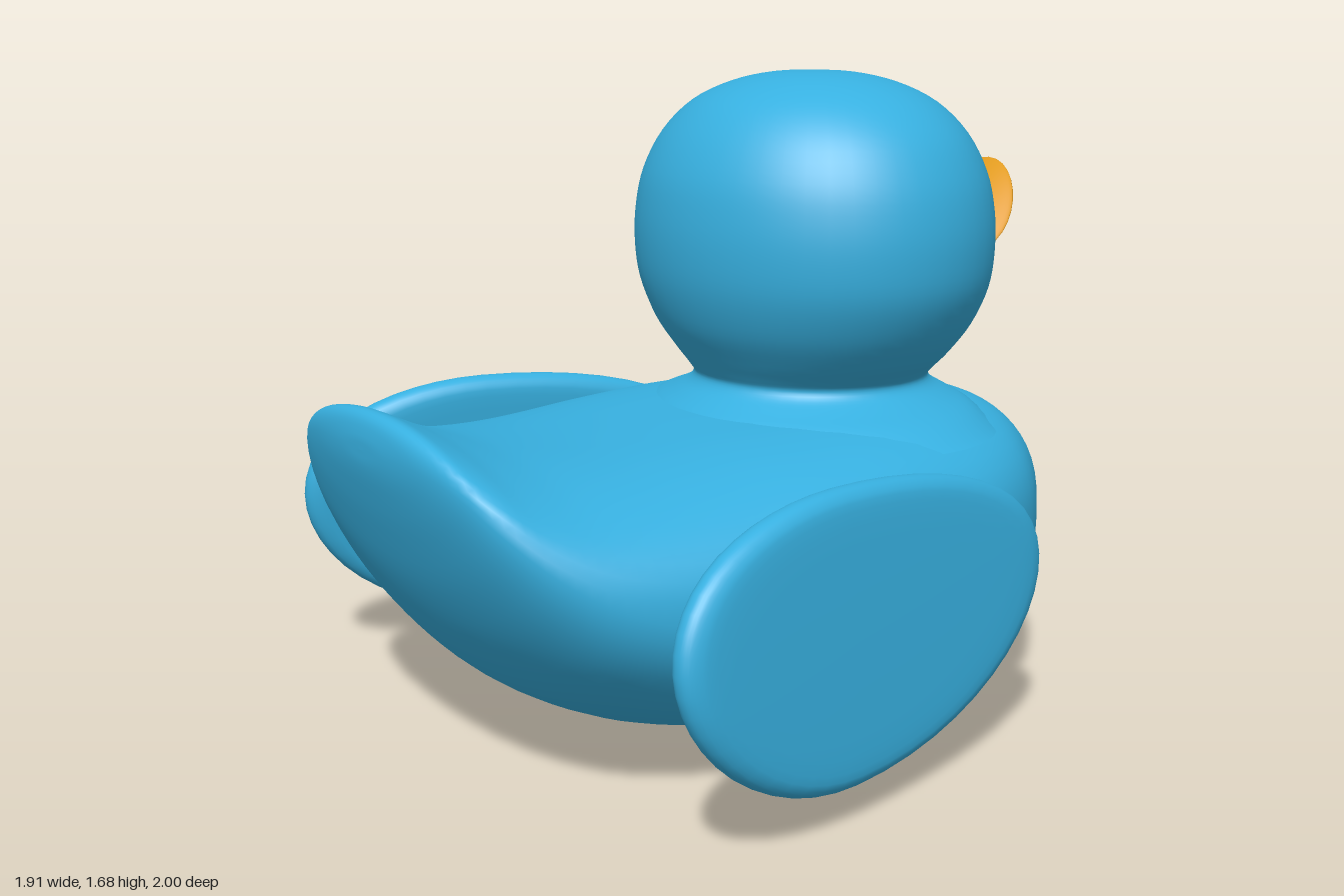
import * as THREE from 'three';

const SIDES = 48;

// Smooth closed skin through loops of points; point(key, angle) returns [x, y, z].
function loft(keys, steps, point) {
  const spline = new THREE.CubicInterpolant(keys.map((_, i) => i), keys.flat(), keys[0].length);
  const rings = (keys.length - 1) * steps;
  const pos = [], index = [];
  for (let i = 0; i <= rings; i++) {
    const key = Array.from(spline.evaluate(i / steps));
    for (let j = 0; j < SIDES; j++) pos.push(...point(key, (j / SIDES) * Math.PI * 2));
  }
  for (let i = 0; i < rings; i++) {
    for (let j = 0; j < SIDES; j++) {
      const k = (j + 1) % SIDES;
      const a = i * SIDES + j, b = i * SIDES + k;
      index.push(a, b, a + SIDES, b, b + SIDES, a + SIDES);
    }
  }
  const g = new THREE.BufferGeometry();
  g.setAttribute('position', new THREE.Float32BufferAttribute(pos, 3));
  g.setIndex(index);
  g.computeVertexNormals();
  return g;
}

// Signed power for rounded-square cross-sections
const sp = (v, n) => Math.sign(v) * Math.pow(Math.abs(v), 2 / n);

// Flattened ball whose height follows rule(x, distance from the beak root)
function billGeometry(rx, ry, rz, rule) {
  const g = new THREE.SphereGeometry(1, 40, 28);
  const p = g.attributes.position;
  for (let i = 0; i < p.count; i++) {
    const x = p.getX(i) * rx, z = p.getZ(i) * rz;
    p.setXYZ(i, x, p.getY(i) * ry + rule(x, rz - z), z);
  }
  g.computeVertexNormals();
  return g;
}

export function createModel() {
  const duck = new THREE.Group();
  const blue = new THREE.MeshStandardMaterial({ name: 'blue', color: 0x37b0e0 });
  const orange = new THREE.MeshStandardMaterial({ name: 'orange', color: 0xe09a1f });
  const black = new THREE.MeshStandardMaterial({ name: 'black', color: 0x101010 });

  function add(name, geometry, material, x = 0, y = 0, z = 0) {
    const mesh = new THREE.Mesh(geometry, material);
    mesh.name = name;
    mesh.position.set(x, y, z);
    duck.add(mesh);
    return mesh;
  }

  // Body with broad upturned tail: z, bottom, top, half width, squareness of the top
  const bodyKeys = [
    [-0.955, 0.45, 0.45, 0, 2],
    [-0.945, 0.36, 0.56, 0.14, 2.1],
    [-0.92, 0.29, 0.66, 0.25, 2.2],
    [-0.87, 0.21, 0.745, 0.36, 2.4],
    [-0.79, 0.14, 0.79, 0.45, 2.6],
    [-0.65, 0.08, 0.805, 0.57, 2.9],
    [-0.45, 0.03, 0.81, 0.66, 3.2],
    [-0.2, 0.005, 0.81, 0.70, 3.4],
    [0.05, 0.01, 0.80, 0.72, 3.2],
    [0.3, 0.045, 0.79, 0.715, 2.8],
    [0.5, 0.105, 0.793, 0.69, 2.5],
    [0.68, 0.205, 0.815, 0.645, 2.2],
    [0.81, 0.34, 0.855, 0.58, 2],
    [0.9, 0.49, 0.895, 0.50, 2],
    [0.955, 0.63, 0.918, 0.40, 2],
    [0.985, 0.73, 0.905, 0.27, 2],
    [0.998, 0.79, 0.865, 0.12, 2],
    [1, 0.83, 0.83, 0, 2],
  ];
  add('body', loft(bodyKeys, 4, ([z, bottom, top, w, n], a) => {
    const mid = bottom + (top - bottom) * 0.54;
    const c = Math.cos(a), s = Math.sin(a);
    return s > 0
      ? [w * sp(c, n), mid + (top - mid) * sp(s, n), z]
      : [w * c, mid + (mid - bottom) * s, z];
  }), blue);

  // Neck flare and head: y, half width, half depth
  const headKeys = [
    [0.74, 0.56, 0.46],
    [0.79, 0.47, 0.42],
    [0.82, 0.39, 0.375],
    [0.845, 0.34, 0.335],
    [0.87, 0.325, 0.318],
    [0.895, 0.345, 0.33],
    [0.94, 0.395, 0.36],
    [1.02, 0.46, 0.41],
    [1.12, 0.51, 0.445],
    [1.22, 0.525, 0.458],
    [1.32, 0.52, 0.455],
    [1.42, 0.495, 0.435],
    [1.52, 0.44, 0.385],
    [1.6, 0.35, 0.31],
    [1.65, 0.24, 0.21],
    [1.675, 0.12, 0.105],
    [1.68, 0, 0],
  ];
  add('head', loft(headKeys, 4, ([y, rx, rz], a) =>
    [rx * Math.cos(a), y, -0.355 - rz * Math.sin(a)]), blue);

  // Wings: flat egg-shaped paddles splayed towards the tail; thickness offset, outline scale
  const wingKeys = [
    [-0.05, 0], [-0.049, 0.5], [-0.046, 0.85], [-0.035, 0.95], [-0.018, 0.99], [0, 1],
    [0.018, 0.99], [0.035, 0.95], [0.046, 0.85], [0.049, 0.5], [0.05, 0],
  ];
  const wing = loft(wingKeys, 3, ([x, k], a) => {
    const s = Math.sin(a);
    const z = s < 0 ? 0.765 * s : 0.53 * s;
    return [x, k * (0.35 * Math.cos(a) + 0.045 * s * s), 0.12 + k * z];
  });
  for (const side of [1, -1]) {
    const mesh = add(side > 0 ? 'leftWing' : 'rightWing', wing, blue, side * 0.81, 0.44, 0.1);
    mesh.rotation.set(0, side * 0.175, side * 0.08);
  }

  // Open beak: drooping upper bill and scooped lower bill
  add('upperBeak', billGeometry(0.212, 0.022, 0.17,
    (x, d) => 0.5 * d + 0.5 * d * d - 1.7 * x * x), orange, 0.01, 1.19, -0.83);
  add('lowerBeak', billGeometry(0.16, 0.022, 0.15,
    (x, d) => -0.42 * d + 2 * x * x), orange, 0.01, 1.205, -0.81);

  // Eyes
  for (const side of [1, -1]) {
    add(side > 0 ? 'leftEye' : 'rightEye', new THREE.SphereGeometry(0.04, 20, 14), black,
      0.01 + side * 0.108, 1.405, -0.79);
  }
  return duck;
}
